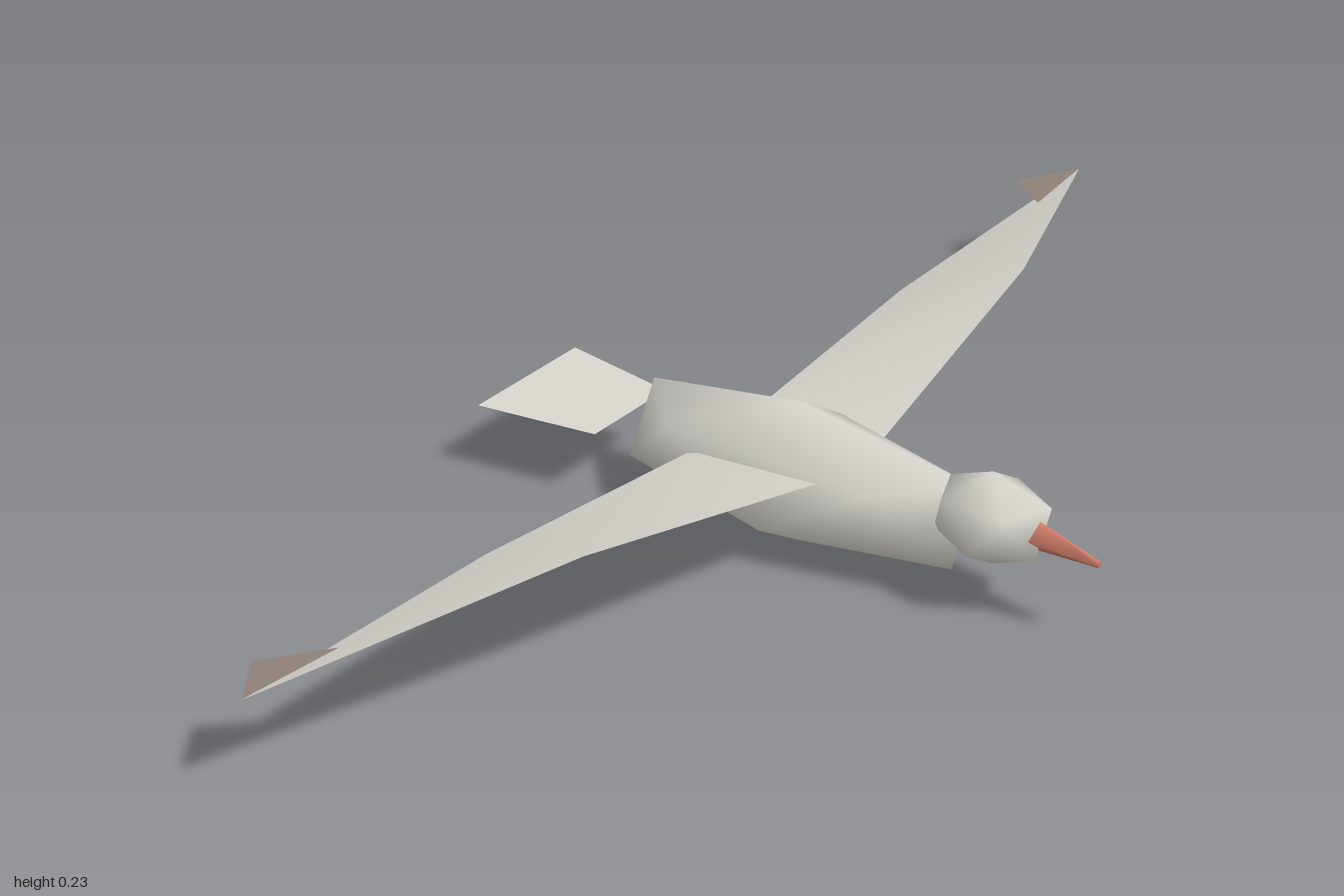
import * as THREE from 'three';

const feather = new THREE.MeshStandardMaterial({ color: 0xd9d7cf, side: THREE.DoubleSide });
feather.name = 'pale feather';
const tipBrown = new THREE.MeshStandardMaterial({ color: 0x94857c, side: THREE.DoubleSide });
tipBrown.name = 'wingtip brown';
const beakOrange = new THREE.MeshStandardMaterial({ color: 0xd4806c });
beakOrange.name = 'beak salmon';

// Smooth-shaded icosahedron with its poles up and down
function icoBall(rx, ry, rz) {
  const points = [0, ry, 0];
  const ring = (h, start) => {
    for (let i = 0; i < 5; i++) {
      const a = start + (i * Math.PI * 2) / 5;
      points.push(rx * 0.894 * Math.cos(a), ry * h, rz * 0.894 * Math.sin(a));
    }
  };
  ring(0.447, 0);
  ring(-0.447, Math.PI / 5);
  points.push(0, -ry, 0);
  const index = [];
  for (let i = 0; i < 5; i++) {
    const n = (i + 1) % 5;
    const a = 1 + i, a2 = 1 + n, b = 6 + i, b2 = 6 + n;
    index.push(0, a2, a, a, a2, b, b, a2, b2, 11, b, b2);
  }
  return sheet(points, index);
}

function sheet(points, index) {
  const g = new THREE.BufferGeometry();
  g.setAttribute('position', new THREE.Float32BufferAttribute(points, 3));
  g.setIndex(index);
  g.computeVertexNormals();
  return g;
}

function part(parent, name, geometry, material, x = 0, y = 0, z = 0) {
  const m = new THREE.Mesh(geometry, material);
  m.name = name;
  m.position.set(x, y, z);
  parent.add(m);
  return m;
}

export function createModel() {
  const bird = new THREE.Group();
  bird.name = 'bird';

  part(bird, 'body', icoBall(0.113, 0.1145, 0.337), feather, 0, 0.117, -0.007);
  part(bird, 'head', icoBall(0.073, 0.0735, 0.1), feather, 0, 0.151, 0.326);

  // Four-sided tapering beak, dipping slightly to the tip
  const beak = new THREE.CylinderGeometry(0.006, 0.026, 0.117, 4).rotateX(Math.PI / 2);
  part(bird, 'beak', beak, beakOrange, 0, 0.142, 0.4465).rotation.x = 0.12;

  // Flat tail fan
  part(bird, 'tail', sheet(
    [-0.085, 0, -0.315, 0.085, 0, -0.315, 0.115, 0, -0.51, -0.115, 0, -0.51],
    [0, 1, 2, 0, 2, 3]), feather, 0, 0.117, 0);

  for (const [side, s] of [['left', 1], ['right', -1]]) {
    // Mirrored corners need reversed faces
    const flip = (idx) => (s > 0 ? idx : idx.slice().reverse());

    // Thin wing: root, raised bend, tip
    part(bird, side + 'Wing', sheet([
      s * 0.04, 0.155, 0.087,
      s * 0.04, 0.138, -0.143,
      s * 0.535, 0.235, 0.022,
      s * 0.5, 0.155, -0.178,
      s * 1, 0.17, -0.177,
    ], flip([0, 2, 1, 1, 2, 3, 2, 4, 3])), feather);

    // Dark feather at the wing's end
    part(bird, side + 'Wingtip', sheet([
      s * 1, 0.171, -0.177,
      s * 0.914, 0.164, -0.24,
      s * 0.838, 0.18, -0.15,
    ], flip([0, 1, 2])), tipBrown);
  }
  return bird;
}
